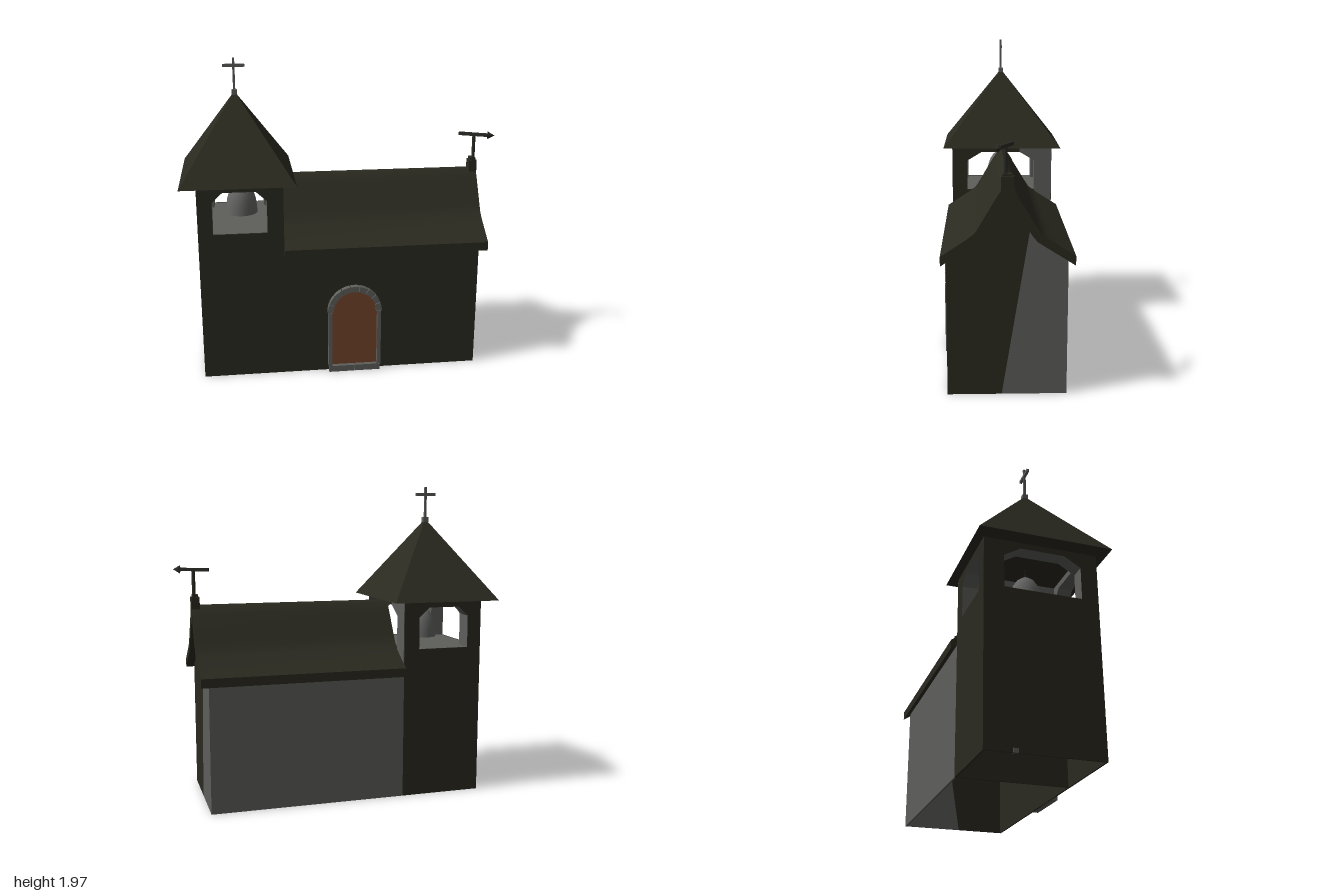
import * as THREE from 'three';
import { toCreasedNormals } from 'three/addons/utils/BufferGeometryUtils.js';

const mat = (name, color, side = THREE.FrontSide) => {
  const m = new THREE.MeshStandardMaterial({ color, side });
  m.name = name;
  return m;
};

export function createModel() {
  const olive = mat('dark olive', 0x2b2a20);
  const stone = mat('grey stone', 0x5e5e5b);
  const wood = mat('brown wood', 0x75442a);
  const bronze = mat('bell grey', 0x666665, THREE.DoubleSide);
  const iron = mat('dark iron', 0x2a2a24);
  const root = new THREE.Group();
  root.name = 'chapel';

  const add = (name, geo, material, parent = root) => {
    const mesh = new THREE.Mesh(geo, material);
    mesh.name = name;
    parent.add(mesh);
    return mesh;
  };
  // Box given by its limits
  const box = (name, x0, x1, y0, y1, z0, z1, material, parent) => {
    const geo = new THREE.BoxGeometry(x1 - x0, y1 - y0, z1 - z0);
    geo.translate((x0 + x1) / 2, (y0 + y1) / 2, (z0 + z1) / 2);
    return add(name, geo, material, parent);
  };
  const shapeOf = pts => new THREE.Shape(pts.map(p => new THREE.Vector2(p[0], p[1])));
  const extrude = (shape, depth, curveSegments = 12) =>
    new THREE.ExtrudeGeometry(shape, { depth, bevelEnabled: false, curveSegments });
  // Outline of [z, y] points drawn out along x
  const extrudeX = (pts, x0, x1) =>
    extrude(shapeOf(pts.map(([z, y]) => [-z, y])), x1 - x0).rotateY(Math.PI / 2).translate(x0, 0, 0);
  // Gives each triangle material 1 where its centre meets the rule, else 0
  const paint = (geo, rule) => {
    const p = geo.attributes.position;
    geo.clearGroups();
    for (let i = 0; i < p.count; i += 3) {
      const c = new THREE.Vector3();
      for (let k = 0; k < 3; k++) c.add(new THREE.Vector3().fromBufferAttribute(p, i + k));
      geo.addGroup(i, 3, rule(c.divideScalar(3)) ? 1 : 0);
    }
    return geo;
  };

  // Hollow nave, open below: side walls and a gable in two colours parted by a slanting line
  const t = 0.01;
  box('naveFrontWall', -0.38, 0.85, 0, 0.83, 0.342 - t, 0.342, olive);
  box('naveBackWall', -0.38, 0.85, 0, 0.83, -0.345, -0.345 + t, stone);
  const gableOlive = [[0.03, 0], [0.342, 0], [0.342, 0.83], [0.18, 0.94], [0, 1.2], [-0.13, 0.99]];
  const gableGrey = [[0.03, 0], [-0.13, 0.99], [-0.18, 0.94], [-0.345, 0.83], [-0.345, 0]];
  add('gableFrontHalf', extrudeX(gableOlive, 0.85 - t, 0.85), olive);
  add('gableBackHalf', extrudeX(gableGrey, 0.85 - t, 0.85), stone);

  // Nave roof with flared eaves
  const top = [[0.372, 0.84], [0.225, 0.937], [0.18, 0.972], [0.15, 1.02], [0.06, 1.172], [0.025, 1.225], [0, 1.238]];
  const under = [[0, 1.165], [0.14, 0.95], [0.165, 0.92], [0.21, 0.89], [0.372, 0.785]];
  const mirror = pts => pts.filter(([z]) => z > 0).map(([z, y]) => [-z * 1.025, y]).reverse();
  add('naveRoof', toCreasedNormals(
    extrudeX([...top, ...mirror(top), ...mirror(under), ...under], -0.38, 0.9), 0.6), olive);

  // Hollow tower with a grey belfry floor
  box('towerFrontWall', -0.9, -0.38, 0, 0.95, 0.342 - t, 0.342, olive);
  box('towerBackWall', -0.9, -0.38, 0, 0.95, -0.345, -0.345 + t, olive);
  for (const x of [-0.9, -0.38 - t])
    box('towerSideWall', x, x + t, 0, 0.95, -0.345 + t, 0.342 - t, olive);
  box('belfryFloor', -0.9 + t, -0.38 - t, 0.94, 0.95, -0.345 + t, 0.342 - t, stone);
  box('footStone', -0.903, -0.887, 0, 0.025, -0.185, -0.155, stone);

  // Belfry walls with chamfered openings and grey reveals
  const archWall = (a, b, c, d, cut, drop) => [
    [a, 0.95], [c, 0.95], [c, 1.213 - drop], [c + cut, 1.213], [d - cut, 1.213], [d, 1.213 - drop],
    [d, 0.95], [b, 0.95], [b, 1.26], [a, 1.26]];
  const inside = c => Math.abs(c.x + 0.64) < 0.258 && c.z < 0.341 && c.z > -0.344;
  const faceWall = archWall(-0.9, -0.38, -0.81, -0.48, 0.065, 0.06);
  for (const z of [-0.345, 0.252])
    add('belfryFaceWall', paint(extrude(shapeOf(faceWall), 0.09).translate(0, 0, z), inside), [olive, stone]);
  const sideWall = archWall(-0.345, 0.342, -0.225, 0.24, 0.1, 0.06);
  for (const x of [-0.9, -0.47])
    add('belfrySideWall', paint(extrudeX(sideWall, x, x + 0.09), inside), [olive, stone]);
  const greyPatch = [[-0.344, 0.8], [-0.226, 0.8], [-0.226, 1.153], [-0.125, 1.213], [-0.125, 1.255], [-0.344, 1.255]];
  add('belfryGreyPatch', extrudeX(greyPatch, -0.381, -0.376), stone);

  // Tower roof
  const spire = new THREE.ConeGeometry(Math.SQRT1_2, 0.515, 4, 1).rotateY(Math.PI / 4)
    .scale(0.7, 1, 0.8).translate(-0.65, 1.5075, 0).toNonIndexed();
  spire.computeVertexNormals();
  add('towerRoof', spire, olive);

  // Cross on the tower
  const cross = new THREE.Group();
  cross.name = 'cross';
  root.add(cross);
  box('crossFoot', -0.667, -0.633, 1.745, 1.775, -0.017, 0.017, stone, cross);
  box('crossPost', -0.657, -0.643, 1.77, 1.97, -0.007, 0.007, stone, cross);
  box('crossBar', -0.717, -0.583, 1.914, 1.932, -0.008, 0.008, stone, cross);

  // Bell with its hanger
  const bellProfile = [[0.1, 0.985], [0.098, 1.03], [0.091, 1.08], [0.077, 1.125],
    [0.054, 1.16], [0.025, 1.183], [0, 1.19]].map(p => new THREE.Vector2(...p));
  add('bell', new THREE.LatheGeometry(bellProfile, 28), bronze).position.x = -0.63;
  box('bellHanger', -0.633, -0.627, 1.18, 1.26, -0.003, 0.003, iron);

  // Arched door
  const cx = 0.055, cy = 0.41;
  const door = new THREE.Shape();
  door.moveTo(cx - 0.15, 0.03);
  door.lineTo(cx + 0.15, 0.03);
  door.lineTo(cx + 0.15, cy);
  door.absarc(cx, cy, 0.15, 0, Math.PI);
  add('door', extrude(door, 0.018, 16).translate(0, 0, 0.335), wood);

  // Door surround: arch stones, jambs and two sill blocks
  const n = 9, gap = 0.012;
  for (let i = 0; i < n; i++) {
    const a0 = Math.PI * i / n + gap, a1 = Math.PI * (i + 1) / n - gap;
    const block = new THREE.Shape();
    block.absarc(cx, cy, 0.172, a0, a1, false);
    block.absarc(cx, cy, 0.136, a1, a0, true);
    add('archStone', extrude(block, 0.039, 3).translate(0, 0, 0.34), stone);
  }
  for (const s of [-1, 1]) {
    const x = cx + s * 0.156, sx = cx + s * 0.083;
    box('doorJamb', x - 0.012, x + 0.012, 0.04, cy, 0.34, 0.378, stone);
    box('doorSill', sx - 0.081, sx + 0.081, 0, 0.04, 0.34, 0.379, stone);
  }

  // Gable post and weathervane
  box('gablePost', 0.852, 0.902, 1.12, 1.287, -0.034, 0.034, olive);
  box('gablePostCap', 0.86, 0.894, 1.287, 1.303, -0.026, 0.026, olive);
  add('vaneRod', new THREE.CylinderGeometry(0.011, 0.011, 0.16, 8).translate(0.882, 1.375, 0.01), iron);
  const vane = new THREE.Group();
  vane.name = 'weathervane';
  vane.position.set(0.882, 1.455, 0.013);
  vane.rotation.y = -0.46;
  root.add(vane);
  box('vaneArrow', -0.1, 0.1, -0.01, 0.01, -0.01, 0.01, iron, vane);
  add('vaneTip', new THREE.ConeGeometry(0.025, 0.045, 4).rotateZ(-Math.PI / 2).translate(0.109, 0, 0), iron, vane);

  return root;
}
